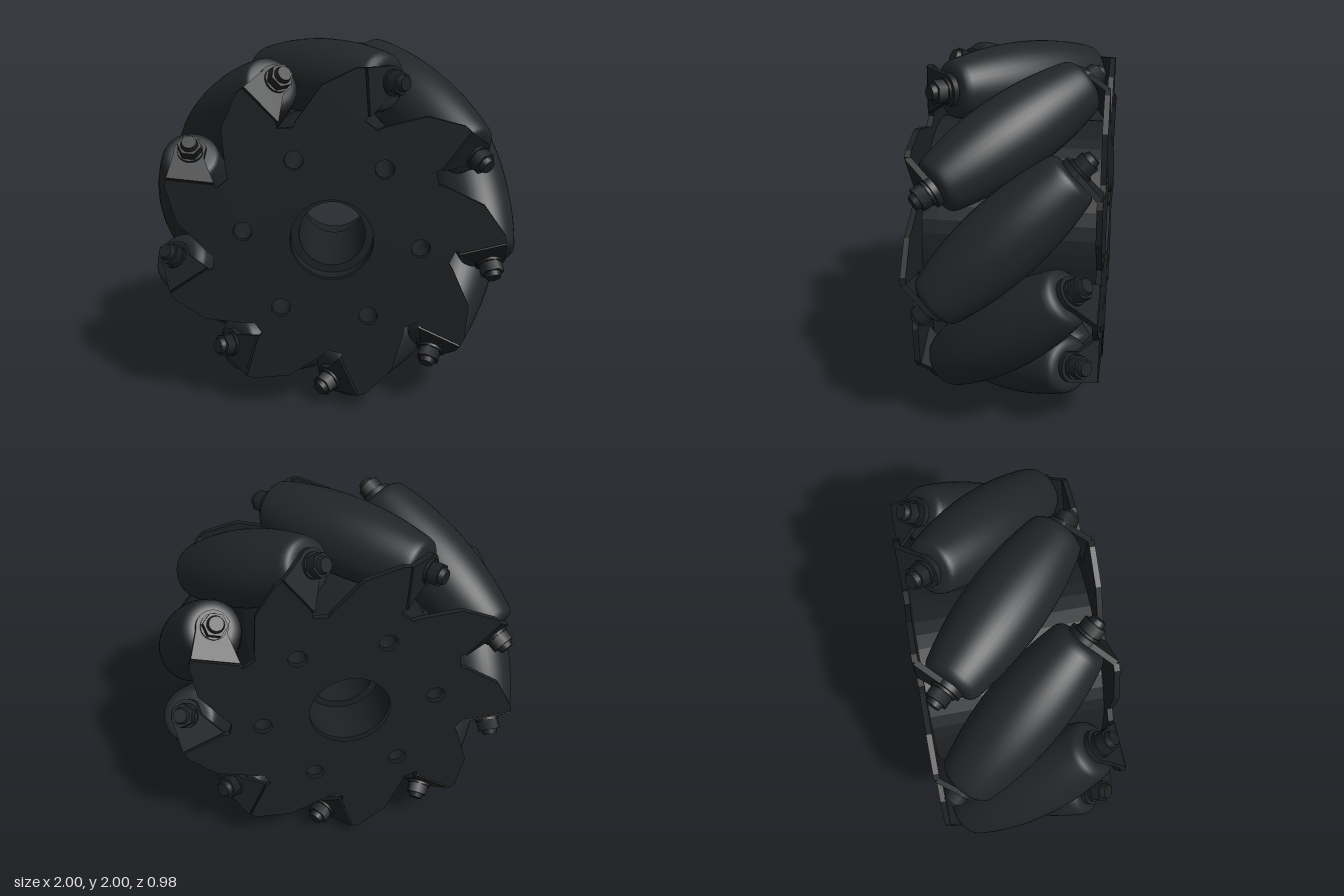
import * as THREE from 'three';

const COUNT = 9;            // rollers round the wheel
const AXLE_R = 0.79;        // distance of roller axles from the wheel axis
const STEP = (Math.PI * 2) / COUNT;
const HOLES = THREE.MathUtils.degToRad(50.5);

const rubber = new THREE.MeshStandardMaterial({ color: 0x222528 });
const metal = new THREE.MeshStandardMaterial({ color: 0x1d1f21 });

function mesh(name, geometry, material, parent) {
  const m = new THREE.Mesh(geometry, material);
  m.name = name;
  parent.add(m);
  return m;
}

// Cuts the centre bore and the ring of six bolt holes
function addHoles(shape, bore, startAngle) {
  shape.holes.push(new THREE.Path().absarc(0, 0, bore, 0, Math.PI * 2, true));
  for (let i = 0; i < 6; i++) {
    const a = startAngle + (i * Math.PI) / 3;
    const p = new THREE.Path();
    p.absarc(0.472 * Math.cos(a), 0.472 * Math.sin(a), 0.05, 0, Math.PI * 2, true);
    shape.holes.push(p);
  }
  return shape;
}

function extrude(shape, z0, z1) {
  const g = new THREE.ExtrudeGeometry(shape, { depth: z1 - z0, bevelEnabled: false, curveSegments: 24 });
  return g.translate(0, 0, z0);
}

// Saw-toothed side plate
function plateGeometry(holeAngle) {
  const tooth = [[-0.158, 0.613], [-0.135, 0.65], [0.007, 0.82], [0.193, 0.894],
    [0.232, 0.89], [0.232, 0.65], [0.215, 0.62]];
  const points = [];
  for (let i = 0; i < COUNT; i++) {
    for (const [x, y] of tooth) {
      points.push(new THREE.Vector2(x, y).rotateAround(new THREE.Vector2(), -i * STEP));
    }
  }
  return extrude(addHoles(new THREE.Shape(points), 0.22, holeAngle), 0.46, 0.49);
}

// Bent tab that carries an axle end, square to the axle
function tabGeometry() {
  const s = new THREE.Shape();
  s.moveTo(-0.172, 0.64);
  s.lineTo(-0.03, 0.715);
  s.absarc(0, AXLE_R, 0.088, -1.1, 1.8, false);
  s.lineTo(-0.172, 0.89);
  s.closePath();
  return extrude(s, 0.485, 0.515);
}

// Barrel profile whose outside rolls on a cylinder of radius 1, axle at 45 degrees
function rollerGeometry() {
  const half = [];
  for (let i = 0; i <= 14; i++) {
    const phi = (0.345 * i) / 14;
    const t = AXLE_R * Math.tan(phi);
    const dx = Math.sin(phi) - t;
    const dy = Math.cos(phi) - AXLE_R;
    half.push([Math.sqrt(dx * dx / 2 + dy * dy), (Math.sin(phi) + t) / Math.SQRT2]);
  }
  half.push([0.147, 0.463], [0.13, 0.477], [0.1, 0.484], [0, 0.484]);
  const lower = half.slice(1).reverse().map(([r, s]) => new THREE.Vector2(r, -s));
  const upper = half.map(([r, s]) => new THREE.Vector2(r, s));
  return new THREE.LatheGeometry([...lower, ...upper], 40).rotateX(Math.PI / 2);
}

// Cylinder lying along z between two positions
function rod(r0, r1, sides, z0, z1) {
  return new THREE.CylinderGeometry(r1, r0, z1 - z0, sides)
    .rotateX(Math.PI / 2).translate(0, AXLE_R, (z0 + z1) / 2);
}

export function createModel() {
  const model = new THREE.Group();
  model.name = 'omnidirectionalWheel';
  const wheel = new THREE.Group();
  wheel.name = 'wheel';
  wheel.position.y = 1;
  wheel.rotation.z = THREE.MathUtils.degToRad(4);
  model.add(wheel);

  // Side plates, the back one turned half round
  mesh('frontPlate', plateGeometry(HOLES), metal, wheel);
  mesh('backPlate', plateGeometry(Math.PI - HOLES), metal, wheel).rotation.y = Math.PI;

  // Drum between the plates, with a bore stepped at both ends
  for (const [name, bore, z0, z1] of [['drumFront', 0.22, 0.38, 0.46],
    ['drumMiddle', 0.178, -0.2, 0.38], ['drumBack', 0.22, -0.46, -0.2]]) {
    const disc = new THREE.Shape().absarc(0, 0, 0.565, 0, Math.PI * 2, false);
    mesh(name, extrude(addHoles(disc, bore, HOLES), z0, z1), metal, wheel);
  }

  // Rollers with a tab and bolt at each end
  const roller = rollerGeometry();
  const tab = tabGeometry();
  const washer = rod(0.068, 0.068, 24, 0.515, 0.53);
  const head = rod(0.064, 0.064, 6, 0.53, 0.585);
  const tip = rod(0.046, 0.038, 16, 0.585, 0.612);
  for (let i = 0; i < COUNT; i++) {
    const station = new THREE.Group();
    station.name = 'rollerStation';
    station.rotation.z = i * STEP;
    wheel.add(station);
    const axle = new THREE.Group();
    axle.name = 'rollerAxle';
    axle.rotation.y = Math.PI / 4;
    station.add(axle);
    mesh('roller', roller, rubber, axle).position.y = AXLE_R;
    for (const turn of [0, Math.PI]) {
      const end = new THREE.Group();
      end.name = turn ? 'backAxleEnd' : 'frontAxleEnd';
      end.rotation.y = turn;
      axle.add(end);
      mesh('tab', tab, metal, end);
      mesh('washer', washer, metal, end);
      mesh('boltHead', head, metal, end);
      mesh('boltTip', tip, metal, end);
    }
  }
  return model;
}
